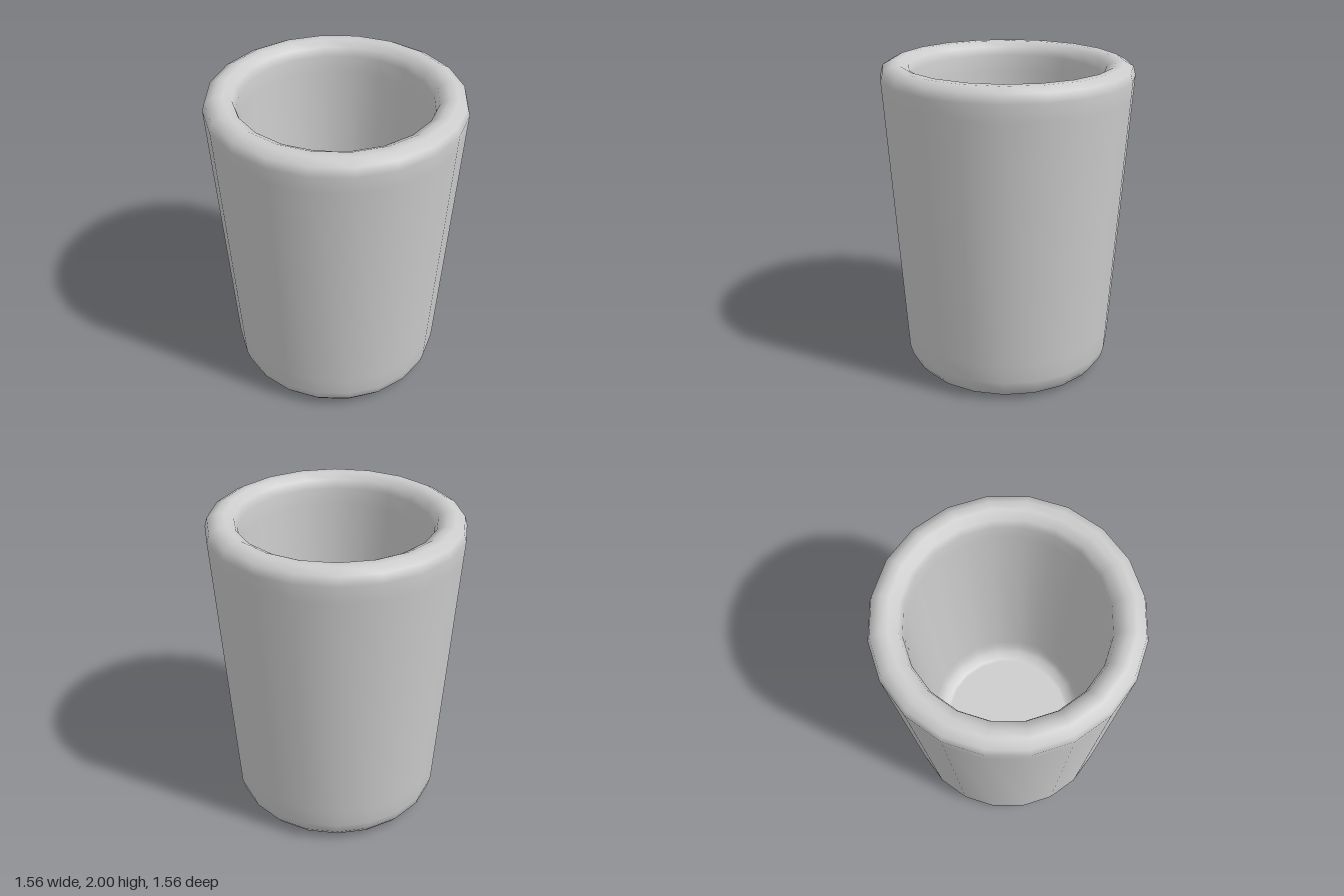
import * as THREE from 'three';

const SIDES = 20;

export function createModel() {
  const group = new THREE.Group();
  group.name = 'cup';
  const clay = new THREE.MeshStandardMaterial({ color: 0xcccccc });
  clay.name = 'light grey';

  // One closed profile: underside, outer wall, rounded rim, inner wall, floor
  const profile = [
    [0, 0], [0.52, 0], [0.545, 0.002], // flat underside
    [0.61, 0.025], [0.65, 0.075], [0.668, 0.14], // rounded foot
    [0.676, 0.26], [0.773, 1.81], // tapered outer wall
    [0.78, 1.915], [0.765, 1.97], [0.71, 2], // rim, outer side
    [0.66, 2], [0.605, 1.97], [0.587, 1.915], // rim, inner side
    [0.582, 1.81], [0.516, 0.36], // tapered inner wall
    [0.507, 0.28], [0.485, 0.23], [0.44, 0.2], // rounded inner corner
    [0.42, 0.2], [0, 0.2], // floor
  ].map(([r, y]) => new THREE.Vector2(r, y));

  const body = new THREE.Mesh(new THREE.LatheGeometry(profile, SIDES), clay);
  body.name = 'cupBody';
  group.add(body);
  return group;
}
